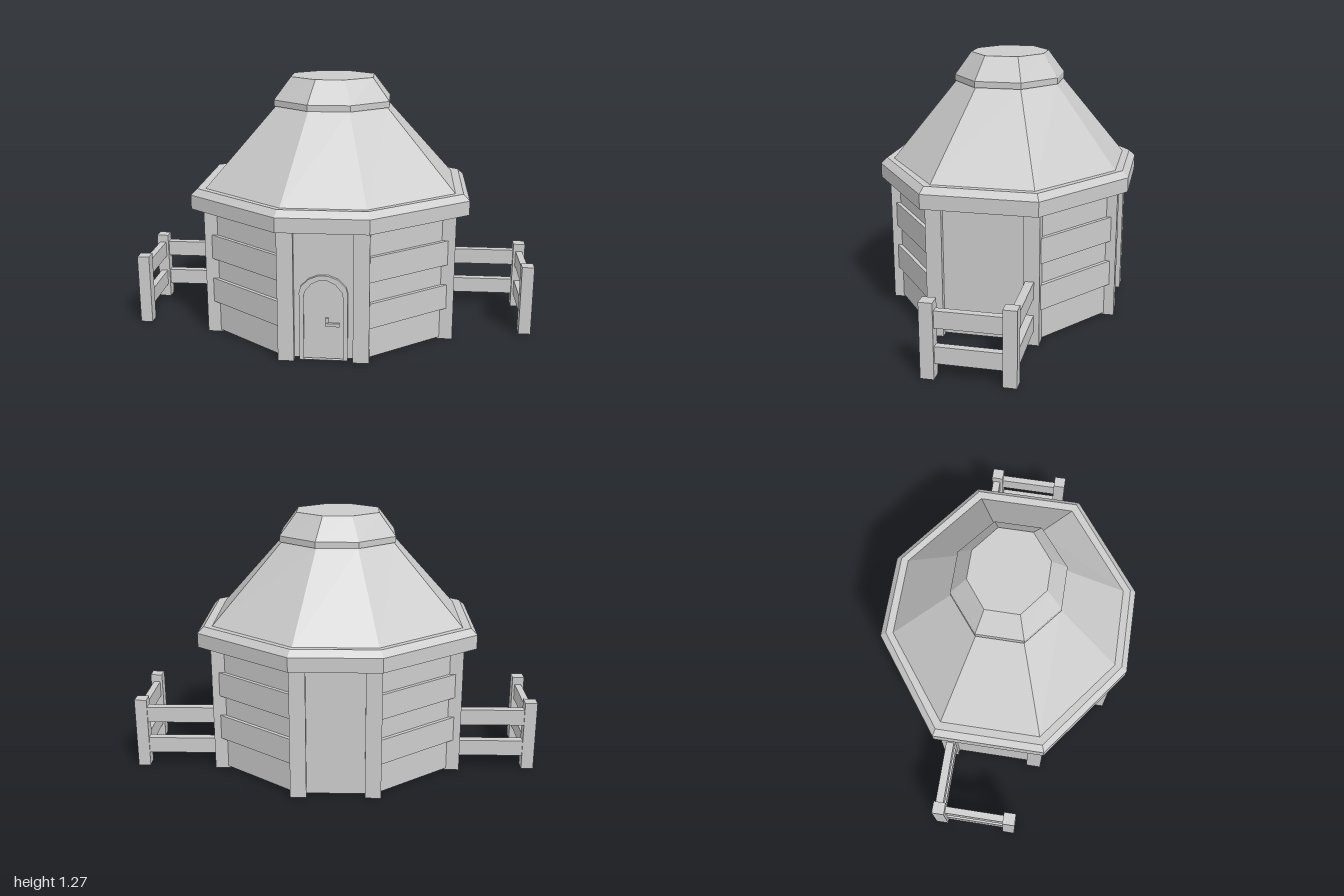
import * as THREE from 'three';

const material = new THREE.MeshStandardMaterial({ color: 0xcccccc, flatShading: true });

function add(parent, name, geometry, x = 0, y = 0, z = 0) {
  const mesh = new THREE.Mesh(geometry, material);
  mesh.name = name;
  mesh.position.set(x, y, z);
  parent.add(mesh);
  return mesh;
}

// Box given by its extents on each axis
function box(parent, name, [x0, x1], [y0, y1], [z0, z1]) {
  return add(parent, name, new THREE.BoxGeometry(x1 - x0, y1 - y0, z1 - z0),
    (x0 + x1) / 2, (y0 + y1) / 2, (z0 + z1) / 2);
}

// Eight corners: hx, hz are half sizes; cx, cz are half lengths of the z- and x-facing sides
function octagon(hx, hz, cx, cz) {
  return [[hx, -cz], [hx, cz], [cx, hz], [-cx, hz], [-hx, cz], [-hx, -cz], [-cx, -hz], [cx, -hz]];
}

// Closed solid lofted through octagonal rings [y, hx, hz, cx, cz] from bottom to top
function loft(rings) {
  const loops = rings.map(([y, ...size]) => octagon(...size).map(([x, z]) => [x, y, z]));
  const out = [];
  const n = 8, last = loops.length - 1;
  for (let i = 0; i < n; i++) {
    const j = (i + 1) % n;
    for (let k = 0; k < last; k++) {
      const a = loops[k][i], b = loops[k][j], c = loops[k + 1][i], d = loops[k + 1][j];
      out.push(...a, ...c, ...b, ...b, ...c, ...d);
    }
    out.push(0, rings[0][0], 0, ...loops[0][i], ...loops[0][j]);
    out.push(0, rings[last][0], 0, ...loops[last][j], ...loops[last][i]);
  }
  const geometry = new THREE.BufferGeometry();
  geometry.setAttribute('position', new THREE.Float32BufferAttribute(out, 3));
  geometry.computeVertexNormals();
  return geometry;
}

// Arched outline used for the door and its frame
function archPoints(w, top, y0) {
  const spring = top - 0.085;
  const right = [[w, y0], [w, spring], [w * 0.93, top - 0.055], [w * 0.6, top - 0.018], [w * 0.2, top]];
  const left = right.map(([x, y]) => [-x, y]).reverse();
  return [...right, ...left].map(([x, y]) => new THREE.Vector2(x, y));
}

function createWalls(house) {
  const corners = octagon(0.575, 0.532, 0.176, 0.228);
  corners.forEach(([x0, z0], i) => {
    // Corner post
    box(house, 'cornerPost', [x0 - 0.038, x0 + 0.038], [0, 0.66], [z0 - 0.038, z0 + 0.038]);

    // Wall to the next corner, local +z facing outwards
    const [x1, z1] = corners[(i + 1) % 8];
    const length = Math.hypot(x1 - x0, z1 - z0);
    const wall = new THREE.Group();
    wall.name = 'wall';
    wall.position.set((x0 + x1) / 2, 0, (z0 + z1) / 2);
    wall.rotation.y = Math.atan2(z1 - z0, -(x1 - x0));
    wall.rotation.y = Math.atan2(z1 - z0, x0 - x1);
    house.add(wall);
    const half = length / 2;
    if (i % 2 === 0) {
      box(wall, 'plainPanel', [-half, half], [0.01, 0.66], [-0.012, 0.012]);
    } else {
      // Horizontal planks, every second one standing proud
      const levels = [0.01, 0.163, 0.287, 0.39, 0.513, 0.66];
      for (let k = 0; k < 5; k++) {
        const t = k % 2 ? 0.032 : 0.014;
        box(wall, 'plank', [-half + 0.01, half - 0.01], [levels[k], levels[k + 1]], [-t, t]);
      }
    }
  });
}

function createDoor(house) {
  const door = new THREE.Group();
  door.name = 'door';
  house.add(door);
  const frame = new THREE.Shape(archPoints(0.113, 0.425, 0.005));
  frame.holes.push(new THREE.Path(archPoints(0.092, 0.402, 0.006).reverse()));
  add(door, 'doorFrame', new THREE.ExtrudeGeometry(frame, { depth: 0.05, bevelEnabled: false }), 0, 0, 0.51);
  const leaf = new THREE.Shape(archPoints(0.092, 0.402, 0.01));
  add(door, 'doorLeaf', new THREE.ExtrudeGeometry(leaf, { depth: 0.03, bevelEnabled: false }), 0, 0, 0.52);
  box(door, 'latchPlate', [0.01, 0.024], [0.178, 0.217], [0.545, 0.56]);
  box(door, 'latchHandle', [0.01, 0.075], [0.178, 0.194], [0.555, 0.568]);
}

function createRoof(house) {
  add(house, 'roof', loft([
    [0.645, 0.673, 0.617, 0.213, 0.27],
    [0.715, 0.673, 0.617, 0.213, 0.27],
    [0.745, 0.643, 0.588, 0.203, 0.258],
    [0.742, 0.605, 0.553, 0.197, 0.24],
    [1.13, 0.272, 0.25, 0.098, 0.108],
  ]));
  add(house, 'roofCap', loft([
    [1.13, 0.281, 0.255, 0.102, 0.111],
    [1.16, 0.281, 0.255, 0.102, 0.111],
    [1.27, 0.2, 0.18, 0.07, 0.08],
  ]));
}

function createFence(side) {
  const fence = new THREE.Group();
  fence.name = side > 0 ? 'leftFence' : 'rightFence';
  const span = (a, b) => (side > 0 ? [a, b] : [-b, -a]);
  for (const z of [-0.215, 0.147]) {
    box(fence, 'fencePost', span(0.94, 1), [0, 0.355], [z - 0.031, z + 0.031]);
  }
  for (const y of [0.07, 0.235]) {
    box(fence, 'sideRail', span(0.952, 0.986), [y, y + 0.08], [-0.19, 0.12]);
    box(fence, 'houseRail', span(0.57, 0.95), [y, y + 0.08], [-0.24, -0.2]);
  }
  return fence;
}

export function createModel() {
  const model = new THREE.Group();
  model.name = 'hut';
  const house = new THREE.Group();
  house.name = 'house';
  house.position.x = -0.01;
  model.add(house);
  createWalls(house);
  createDoor(house);
  createRoof(house);
  model.add(createFence(1), createFence(-1));
  return model;
}
